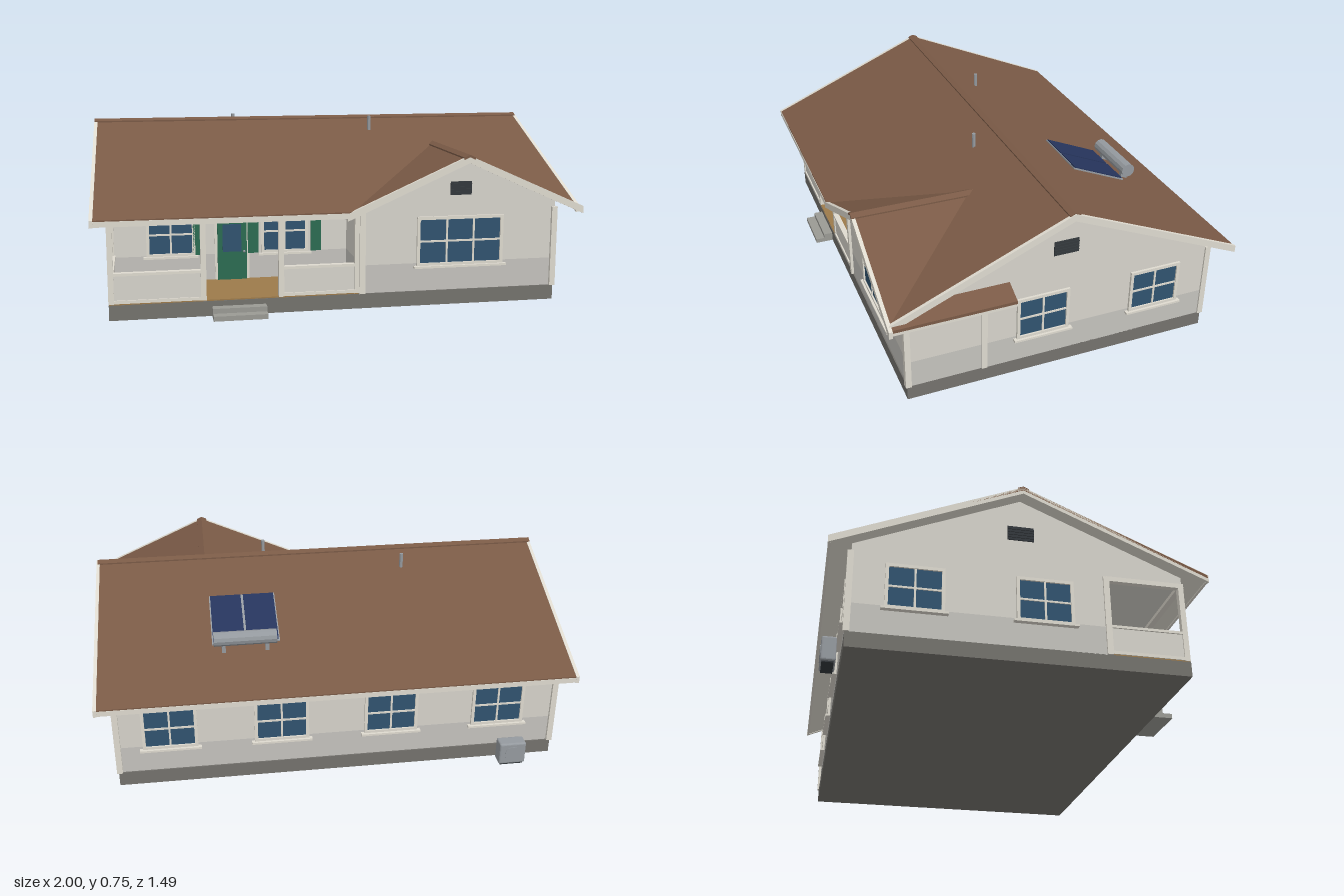
import * as THREE from 'three';
import { RoundedBoxGeometry } from 'three/addons/geometries/RoundedBoxGeometry.js';

const COLORS = {
  roof: 0x7a5a46, wall: 0xd6d3cb, band: 0xc4c2bd, trim: 0xdedacf, plinth: 0x74726d, glass: 0x30536f,
  door: 0x2c6b52, deck: 0x9c7a4a, solar: 0x26345c, metal: 0x959a9f, dark: 0x33383c, step: 0x9a9a94,
};
const mats = {};
for (const k in COLORS) mats[k] = new THREE.MeshStandardMaterial({ color: COLORS[k], flatShading: true });

function add(parent, name, geo, mat) {
  const m = new THREE.Mesh(geo, mats[mat]);
  m.name = name;
  parent.add(m);
  return m;
}

// Box given by its limits on each axis
function box(parent, name, mat, [x0, x1], [y0, y1], [z0, z1]) {
  const g = new THREE.BoxGeometry(x1 - x0, y1 - y0, z1 - z0);
  g.translate((x0 + x1) / 2, (y0 + y1) / 2, (z0 + z1) / 2);
  return add(parent, name, g, mat);
}

const shapeOf = (pts) => new THREE.Shape(pts.map((p) => new THREE.Vector2(...p)));
const extrude = (pts, depth) => new THREE.ExtrudeGeometry(shapeOf(pts), { depth, bevelEnabled: false });

// Heights of the two roofs' upper surfaces
const RIDGE = 0.735, SLOPE = 0.4257, WING_X = 0.5, WING_RIDGE = 0.632, WING_SLOPE = 0.444;
const mainRoof = (x, z) => RIDGE - SLOPE * Math.abs(z);
const wingRoof = (x) => WING_RIDGE - WING_SLOPE * Math.abs(x - WING_X);

// Slab with the given plan outline (x, z), draped on a roof height function
function slab(parent, name, mat, plan, height, drop, thick) {
  const g = extrude(plan, thick).rotateX(Math.PI / 2);
  const p = g.attributes.position;
  for (let i = 0; i < p.count; i++) p.setY(i, p.getY(i) - drop + height(p.getX(i), p.getZ(i)));
  g.computeVertexNormals();
  add(parent, name, g, mat);
}
const rect = (x0, x1, z0, z1) => [[x0, z0], [x1, z0], [x1, z1], [x0, z1]];

// Covering on top, pale lining below
function roofSlope(parent, name, plan, height) {
  slab(parent, name, 'roof', plan, height, 0, 0.013);
  slab(parent, name + 'Lining', 'trim', plan, height, 0.013, 0.012);
}

// Framed window centred on the origin of its group, facing +z
function windowUnit(parent, name, w, h, cols, pos, rotY = 0) {
  const g = new THREE.Group();
  g.name = name;
  g.position.set(...pos);
  g.rotation.y = rotY;
  parent.add(g);
  const a = w / 2, b = h / 2, f = 0.013;
  box(g, 'glass', 'glass', [-a, a], [-b, b], [-0.004, 0.003]);
  for (const s of [-1, 1]) {
    const x = s * (a + f / 2), y = s * (b + f / 2);
    box(g, 'frameSide', 'trim', [x - f / 2, x + f / 2], [-b - f, b + f], [-0.004, 0.01]);
    box(g, 'frameRail', 'trim', [-a, a], [y - f / 2, y + f / 2], [-0.004, 0.01]);
  }
  for (let i = 1; i < cols; i++) {
    const x = -a + (w * i) / cols;
    box(g, 'glazingBar', 'trim', [x - 0.004, x + 0.004], [-b, b], [0, 0.007]);
  }
  box(g, 'crossBar', 'trim', [-a, a], [-0.004, 0.004], [0, 0.007]);
  box(g, 'sill', 'trim', [-a - 0.026, a + 0.026], [-b - 0.02, -b - 0.011], [-0.004, 0.02]);
}

function ventUnit(parent, name, w, h, pos, rotY) {
  const g = new THREE.Group();
  g.name = name;
  g.position.set(...pos);
  g.rotation.y = rotY;
  parent.add(g);
  box(g, 'ventPanel', 'dark', [-w / 2, w / 2], [-h / 2, h / 2], [-0.004, 0.004]);
  for (let i = 1; i < 5; i++) {
    const y = -h / 2 + (h * i) / 5;
    box(g, 'louvre', 'dark', [-w / 2, w / 2], [y - 0.002, y + 0.002], [0, 0.007]);
  }
}

export function createModel() {
  const house = new THREE.Group();
  house.name = 'house';

  // Base and walls, with a slightly darker lower band
  box(house, 'plinth', 'plinth', [-0.94, 0.91], [0, 0.062], [-0.66, 0.66]);
  for (const [name, mat, y] of [['lowerWall', 'band', [0.06, 0.18]], ['upperWall', 'wall', [0.18, 0.4]]]) {
    box(house, name, mat, [-0.94, 0.91], y, [-0.655, 0.34]);
    box(house, name + 'Wing', mat, [0.08, 0.91], y, [0.34, 0.655]);
  }

  // Gable ends
  const e = mainRoof(0, 0.652) - 0.024;
  add(house, 'mainGable', extrude([[-0.652, 0.4], [0.652, 0.4], [0.652, e], [0, RIDGE - 0.024], [-0.652, e]], 1.85)
    .rotateY(Math.PI / 2).translate(-0.94, 0, 0), 'wall');
  const top = (x) => [x, wingRoof(x) - 0.024];
  add(house, 'wingGable', extrude([[0.08, 0.4], [0.91, 0.4], top(0.91), top(WING_X), top(0.08)], 0.3)
    .translate(0, 0, 0.355), 'wall');

  // Roof slopes; the front one is notched along the valleys of the wing
  roofSlope(house, 'backRoof', rect(-1, 0.97, -0.74, 0), mainRoof);
  roofSlope(house, 'frontRoof', [[-1, 0], [0.97, 0], [0.97, 0.733], [0.5, 0.242], [0.023, 0.74], [-1, 0.74]], mainRoof);
  roofSlope(house, 'wingRoofRight', rect(0, WING_X, 0.235, 0.74), wingRoof);
  roofSlope(house, 'wingRoofLeft', rect(WING_X, 0.99, 0.235, 0.74), wingRoof);

  // Barge boards along the gable edges
  for (const s of [-1, 1]) {
    const z = s < 0 ? [-0.743, 0] : [0, 0.743];
    slab(house, 'bargeBoard', 'trim', rect(-1.0, -0.986, ...z), mainRoof, -0.002, 0.03);
    slab(house, 'bargeBoard', 'trim', rect(0.962, 0.976, ...z), mainRoof, -0.002, 0.03);
    const x = s < 0 ? [0, WING_X] : [WING_X, 0.996];
    slab(house, 'wingBargeBoard', 'trim', rect(...x, 0.728, 0.743), wingRoof, -0.002, 0.03);
    // Ridge caps
    slab(house, 'ridgeCap', 'roof', rect(-1, 0.972, s < 0 ? -0.022 : 0, s < 0 ? 0 : 0.022), mainRoof, -0.006, 0.01);
    slab(house, 'wingRidgeCap', 'roof', rect(s < 0 ? 0.476 : 0.5, s < 0 ? 0.5 : 0.524, 0.225, 0.744), wingRoof, -0.006, 0.01);
  }
  box(house, 'backFascia', 'trim', [-0.99, 0.965], [0.393, 0.415], [-0.742, -0.732]);
  box(house, 'frontFascia', 'trim', [-0.99, 0.02], [0.393, 0.415], [0.732, 0.742]);

  // Corner boards
  const wallY = [0.062, 0.4];
  for (const [x, z] of [[-0.935, -0.655], [0.905, -0.655], [0.905, 0.655], [0.08, 0.655], [-0.935, 0.338]])
    box(house, 'cornerBoard', 'trim', [x - 0.012, x + 0.012], wallY, [z - 0.012, z + 0.012]);
  box(house, 'sideBatten', 'trim', [0.9, 0.916], wallY, [0.327, 0.351]);

  // Windows
  for (const z of [0.09, -0.41]) {
    windowUnit(house, 'leftWindow', 0.2, 0.165, 2, [0.91, 0.263, z], Math.PI / 2);
    windowUnit(house, 'rightWindow', 0.2, 0.165, 2, [-0.94, 0.263, z], -Math.PI / 2);
  }
  for (const x of [-0.69, -0.23, 0.23, 0.69])
    windowUnit(house, 'backWindow', 0.2, 0.165, 2, [x, 0.263, -0.655], Math.PI);
  windowUnit(house, 'wingWindow', 0.345, 0.182, 3, [0.495, 0.271, 0.655]);
  for (const x of [-0.685, -0.195]) windowUnit(house, 'porchWindow', 0.18, 0.165, 2, [x, 0.272, 0.34]);
  for (const x of [-0.568, -0.333, -0.057])
    box(house, 'shutter', 'door', [x - 0.023, x + 0.023], [0.18, 0.36], [0.335, 0.35]);

  // Attic vents
  ventUnit(house, 'leftVent', 0.105, 0.062, [0.91, 0.556, 0], Math.PI / 2);
  ventUnit(house, 'rightVent', 0.105, 0.062, [-0.94, 0.556, 0], -Math.PI / 2);
  ventUnit(house, 'wingVent', 0.09, 0.056, [0.495, 0.49, 0.655], 0);

  // Front door
  box(house, 'doorFrame', 'trim', [-0.498, -0.35], [0.062, 0.342], [0.335, 0.346]);
  box(house, 'door', 'door', [-0.487, -0.361], [0.065, 0.332], [0.335, 0.352]);
  box(house, 'doorGlass', 'glass', [-0.465, -0.385], [0.19, 0.31], [0.34, 0.355]);
  const knob = add(house, 'doorKnob', new THREE.SphereGeometry(0.006, 8, 6), 'metal');
  knob.position.set(-0.373, 0.19, 0.357);

  // Porch: deck, posts, beam, half walls with caps, steps
  box(house, 'porchDeck', 'deck', [-0.938, 0.08], [0.06, 0.067], [0.34, 0.658]);
  for (const x of [-0.93, -0.567, -0.254, 0.06])
    box(house, 'porchPost', 'trim', [x - 0.011, x + 0.011], [0.065, 0.4], [0.637, 0.659]);
  box(house, 'porchBeam', 'trim', [-0.941, 0.08], [0.385, 0.405], [0.636, 0.66]);
  box(house, 'porchSideBeam', 'trim', [-0.941, -0.919], [0.385, 0.405], [0.34, 0.64]);
  const halfWall = (x, z, cx, cz) => {
    box(house, 'porchHalfWall', 'wall', x, [0.078, 0.18], z);
    box(house, 'porchRailCap', 'trim', cx, [0.179, 0.19], cz);
    box(house, 'porchBottomRail', 'trim', cx, [0.067, 0.08], cz);
  };
  for (const [a, b] of [[-0.92, -0.577], [-0.244, 0.07]])
    halfWall([a, b], [0.642, 0.654], [a, b], [0.636, 0.66]);
  halfWall([-0.936, -0.924], [0.34, 0.64], [-0.942, -0.918], [0.34, 0.64]);
  box(house, 'upperStep', 'step', [-0.535, -0.318], [0, 0.04], [0.655, 0.7]);
  box(house, 'lowerStep', 'step', [-0.535, -0.318], [0, 0.02], [0.7, 0.74]);

  // Vent pipes
  for (const [x, z] of [[-0.37, -0.12], [0.23, 0.12]])
    add(house, 'ventPipe', new THREE.CylinderGeometry(0.008, 0.008, 0.1, 10).translate(x, 0.695, z), 'metal');

  // Solar water heater
  const solar = new THREE.Group();
  solar.name = 'solarHeater';
  house.add(solar);
  slab(solar, 'panelFrame', 'metal', rect(0.214, 0.496, -0.475, -0.232), mainRoof, -0.006, 0.014);
  for (const x of [0.219, 0.36])
    slab(solar, 'solarPanel', 'solar', rect(x, x + 0.131, -0.47, -0.237), mainRoof, -0.011, 0.01);
  const tank = add(solar, 'waterTank', new THREE.CylinderGeometry(0.03, 0.03, 0.26, 12).rotateZ(Math.PI / 2), 'metal');
  tank.position.set(0.36, 0.573, -0.5);
  for (const x of [0.27, 0.45]) box(solar, 'tankBracket', 'metal', [x - 0.008, x + 0.008], [0.51, 0.56], [-0.515, -0.485]);

  // Outdoor cooling unit behind the house
  const unit = add(house, 'coolingUnit', new RoundedBoxGeometry(0.115, 0.1, 0.058, 2, 0.008), 'metal');
  unit.position.set(-0.75, 0.055, -0.707);
  box(house, 'coolingUnitBase', 'dark', [-0.8, -0.7], [0, 0.008], [-0.73, -0.685]);
  add(house, 'coolingUnitGrille', new THREE.CylinderGeometry(0.034, 0.034, 0.004, 20)
    .rotateX(Math.PI / 2).translate(-0.75, 0.055, -0.736), 'metal');

  return house;
}
